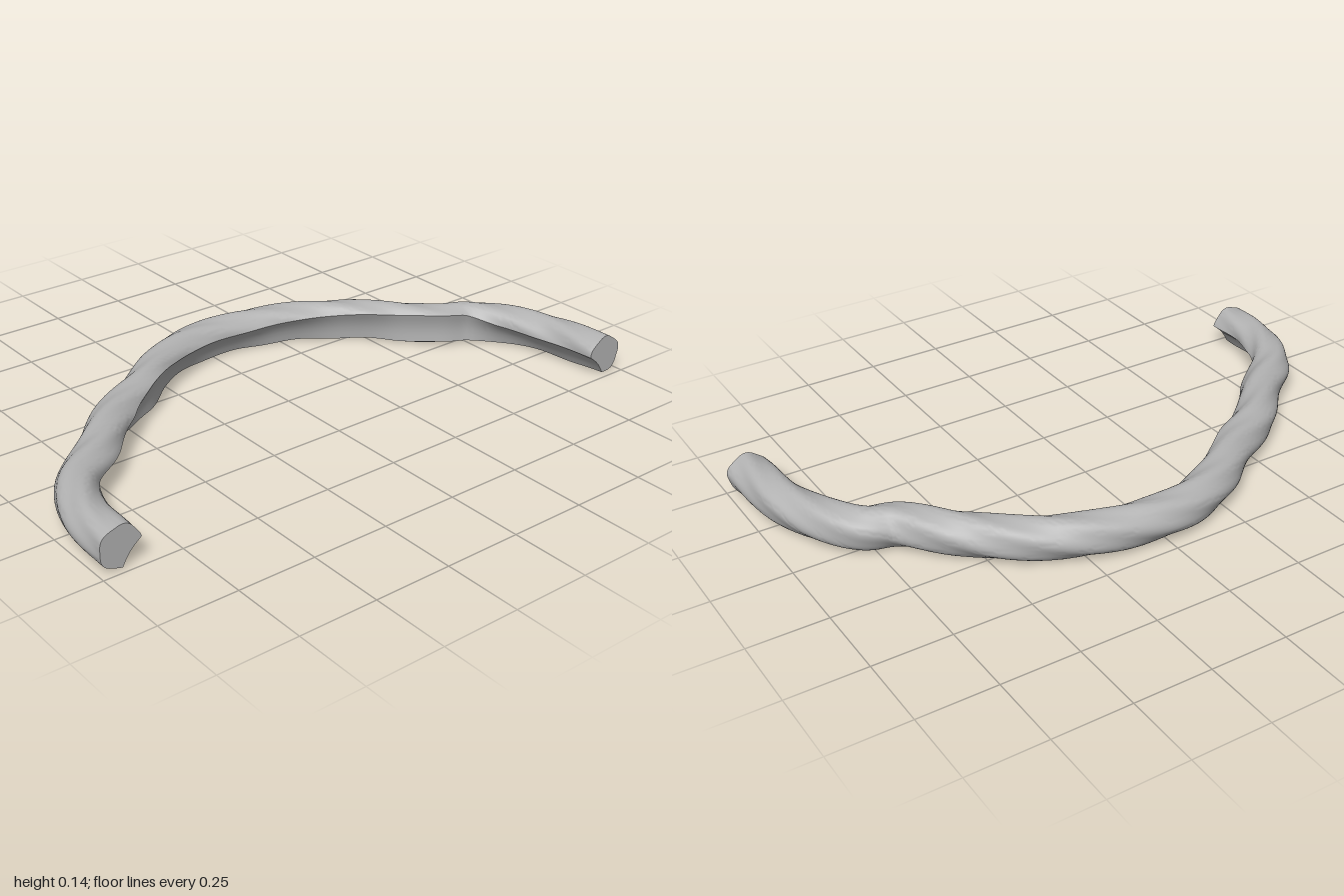
import * as THREE from 'three';
import { toCreasedNormals } from 'three/addons/utils/BufferGeometryUtils.js';

const R = 0.065, CENTRE_Y = 0.071, ARC = 36, FLAT = 5, STEPS = 240;

// Centreline in plan: x, z, then tilt and half-width of the flat inner face in degrees
const PATH = [
  [-0.932, 0.48, -40, 46], [-0.927, 0.31, -40, 46], [-0.86, 0.15, -36, 46], [-0.72, 0.025, -38, 44],
  [-0.57, -0.125, -34, 46], [-0.4, -0.23, -10, 52], [-0.26, -0.335, -24, 50], [-0.1, -0.405, -32, 48],
  [0.08, -0.409, -32, 48], [0.25, -0.37, -26, 50], [0.42, -0.28, -20, 54], [0.55, -0.165, -14, 54],
  [0.68, -0.03, -6, 52], [0.765, 0.007, -10, 48], [0.842, 0.1, -30, 46], [0.902, 0.25, -40, 46],
  [0.932, 0.48, -40, 46],
];

// D-shaped section: softly rippled round back, slightly hollow inner face
function section(s, tilt, half) {
  const at = (a) => {
    const r = R + 0.0028 * Math.cos(5 * a + 24 * s);
    return [r * Math.cos(a), r * Math.sin(a)];
  };
  const ring = [];
  for (let i = 0; i <= ARC; i++) {
    ring.push(at(tilt + half + (i / ARC) * (Math.PI * 2 - 2 * half)));
  }
  const p = ring[ARC], q = ring[0];
  for (let i = 1; i < FLAT; i++) {
    const t = i / FLAT, dip = 0.007 * Math.sin(Math.PI * t);
    ring.push([
      p[0] + (q[0] - p[0]) * t - dip * Math.cos(tilt),
      p[1] + (q[1] - p[1]) * t - dip * Math.sin(tilt),
    ]);
  }
  return ring;
}

function buildArch() {
  const curve = new THREE.CatmullRomCurve3(PATH.map(([x, z]) => new THREE.Vector3(x, 0, z)), false, 'centripetal');
  const faces = new THREE.CatmullRomCurve3(PATH.map(([, , tilt, half], i) => new THREE.Vector3(i, tilt, half)));
  const length = curve.getLength();
  const pos = [], index = [];
  const n = ARC + FLAT;

  // Rings swept along the centreline
  for (let i = 0; i <= STEPS; i++) {
    const u = i / STEPS, c = curve.getPointAt(u), t = curve.getTangentAt(u);
    if (i === 0) t.set(0, 0, -1);
    if (i === STEPS) t.set(0, 0, 1);
    const face = faces.getPoint(curve.getUtoTmapping(u)).multiplyScalar(Math.PI / 180);
    for (const [a, b] of section(u * length, face.y, face.z)) {
      // Local axes: a points to the inside of the arch, b points up
      pos.push(c.x - t.z * a, CENTRE_Y + b, c.z + t.x * a);
    }
  }
  for (let i = 0; i < STEPS; i++) {
    for (let j = 0; j < n; j++) {
      const k = (j + 1) % n, a = i * n, b = a + n;
      index.push(a + j, b + j, a + k, b + j, b + k, a + k);
    }
  }

  // Flat end caps
  for (const [row, side] of [[0, -1], [STEPS, 1]]) {
    const centre = pos.length / 3, o = row * n;
    pos.push(side * 0.945, 0.078, 0.48);
    for (let j = 0; j < n; j++) {
      const k = (j + 1) % n;
      if (side < 0) index.push(centre, o + j, o + k);
      else index.push(centre, o + k, o + j);
    }
  }

  const geo = new THREE.BufferGeometry();
  geo.setAttribute('position', new THREE.Float32BufferAttribute(pos, 3));
  geo.setIndex(index);
  return toCreasedNormals(geo, 0.6);
}

export function createModel() {
  const group = new THREE.Group();
  group.name = 'twistedArch';
  const grey = new THREE.MeshStandardMaterial({ color: 0xb2b2b2 });
  grey.name = 'grey';
  const band = new THREE.Mesh(buildArch(), grey);
  band.name = 'twistedBand';
  group.add(band);
  return group;
}
